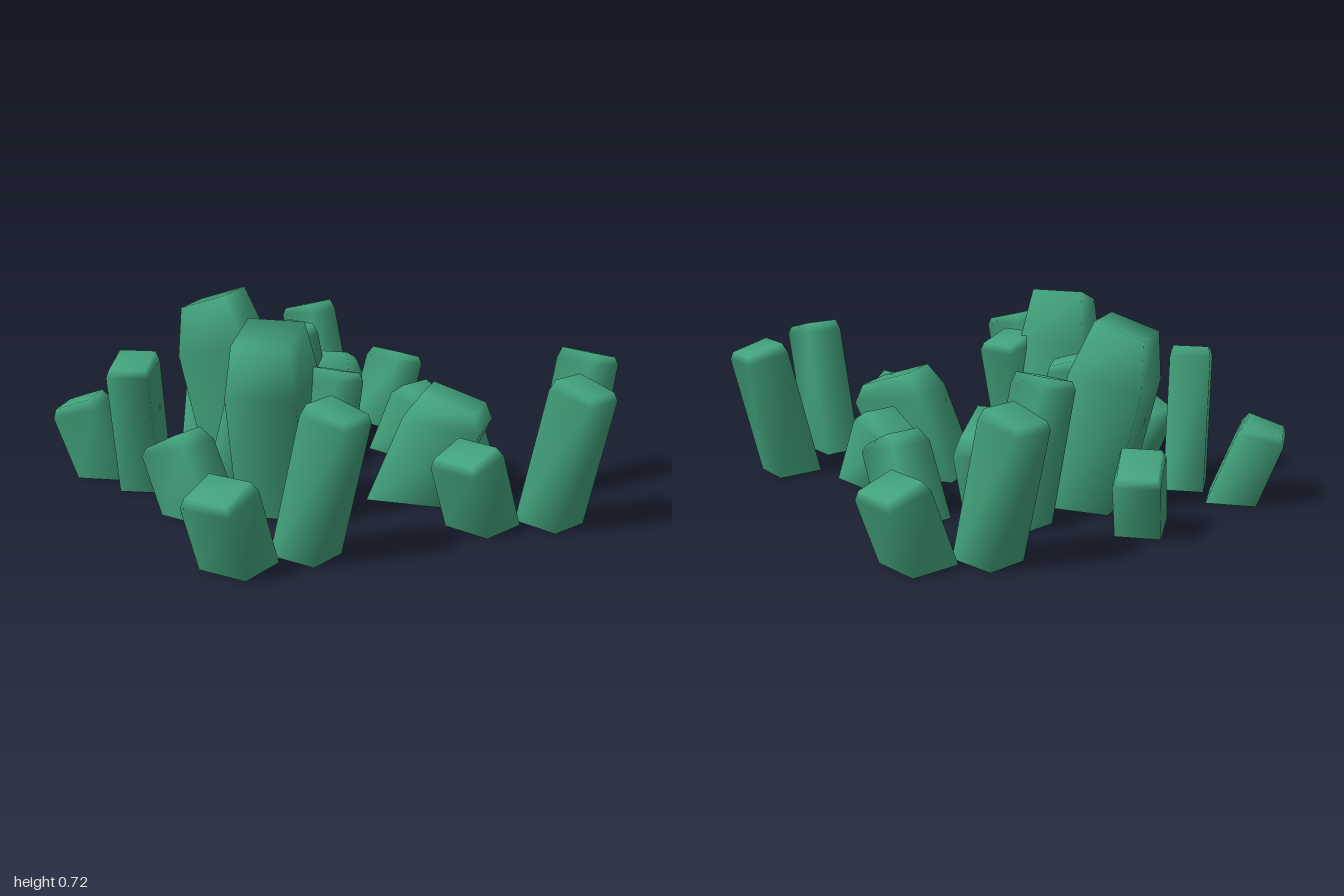
import * as THREE from 'three';

// The crystals are hollow and open below, so both sides show
const crystalGreen = new THREE.MeshStandardMaterial({ color: 0x42a27c, side: THREE.DoubleSide });
crystalGreen.name = 'crystalGreen';

// Each kind leans along +x: d = depth along the lean, w = width, lean = total lean.
// shoulder and top hold [outer height, inner height]; taper narrows the inner side up to the shoulder;
// inset = [outer, inner, sides] of the top face.
const kinds = {
  largeCrystal: { d: 0.28, w: 0.26, lean: 0.115, taper: 0, shoulder: [0.47, 0.52], top: [0.66, 0.72], inset: [0.005, 0.09, 0.025] },
  broadCrystal: { d: 0.27, w: 0.23, lean: 0.13, taper: 0, shoulder: [0.29, 0.34], top: [0.36, 0.425], inset: [0.02, 0.06, 0.025] },
  tallCrystal: { d: 0.185, w: 0.157, lean: 0.118, taper: 0.01, shoulder: [0.48, 0.51], top: [0.51, 0.55], inset: [0.008, 0.02, 0.01] },
  shortCrystal: { d: 0.19, w: 0.187, lean: 0.09, taper: 0.02, shoulder: [0.24, 0.285], top: [0.275, 0.32], inset: [0.006, 0.03, 0.012] },
  wedgeCrystal: { d: 0.24, w: 0.165, lean: 0.09, taper: 0.035, shoulder: [0.21, 0.27], top: [0.24, 0.31], inset: [0.015, 0.055, 0.012] },
};

// Placement: x, z of the footprint centre, lean direction in degrees from +x towards +z, girth.
const placements = {
  largeCrystal: [[-0.28, -0.30, 219], [-0.31, 0.28, 127]],
  broadCrystal: [[0.137, -0.385, -55, 0.95], [0.28, 0.32, 39, 1.06]],
  tallCrystal: [
    [0.26, -0.80, 242], [-0.72, -0.14, 119], [-0.29, -0.16, 27], [0.03, -0.42, 152],
    [0.83, 0.44, -20], [0.58, 0.79, 69], [-0.17, 0.36, -35], [-0.33, 0.76, 57],
  ],
  shortCrystal: [[0.56, -0.735, -24], [-0.835, -0.42, 211], [0.28, 0.70, 155], [-0.637, 0.753, 143]],
  wedgeCrystal: [[-0.31, -0.64, -61], [0.44, -0.19, 67], [0.47, 0.17, 246], [-0.61, 0.18, 236]],
};

// Leaning block with a bevelled, sloping top, built from three rings of four corners
function crystalGeometry({ d, w, lean, taper, shoulder, top, inset }) {
  const positions = [];
  const index = [];
  const ring = (heights, shift, [outer, inner, side]) => {
    for (const [sx, sz] of [[1, 1], [1, -1], [-1, -1], [-1, 1]]) {
      const x = sx > 0 ? d / 2 - outer : inner - d / 2;
      positions.push(x + shift, heights[sx > 0 ? 0 : 1], sz * (w / 2 - side));
    }
  };
  ring([0, 0], -lean / 2, [0, 0, 0]);
  ring(shoulder, lean / 2, [0, taper, 0]);
  ring(top, lean / 2, [inset[0], inset[1] + taper, inset[2]]);
  for (let r = 0; r < 2; r++) {
    for (let j = 0; j < 4; j++) {
      const a = r * 4 + j;
      const b = r * 4 + ((j + 1) % 4);
      index.push(a, b, b + 4, a, b + 4, a + 4);
    }
  }
  index.push(8, 9, 10, 8, 10, 11); // top face
  const geometry = new THREE.BufferGeometry();
  geometry.setAttribute('position', new THREE.Float32BufferAttribute(positions, 3));
  geometry.setIndex(index);
  geometry.computeVertexNormals();
  return geometry;
}

export function createModel() {
  const model = new THREE.Group();
  model.name = 'crystalField';
  for (const [kind, spots] of Object.entries(placements)) {
    const geometry = crystalGeometry(kinds[kind]);
    spots.forEach(([x, z, angle, girth = 1], i) => {
      const crystal = new THREE.Mesh(geometry, crystalGreen);
      crystal.name = `${kind}${i + 1}`;
      crystal.position.set(x, 0, z);
      crystal.rotation.y = -THREE.MathUtils.degToRad(angle);
      crystal.scale.set(girth, 1, girth);
      model.add(crystal);
    });
  }
  return model;
}
